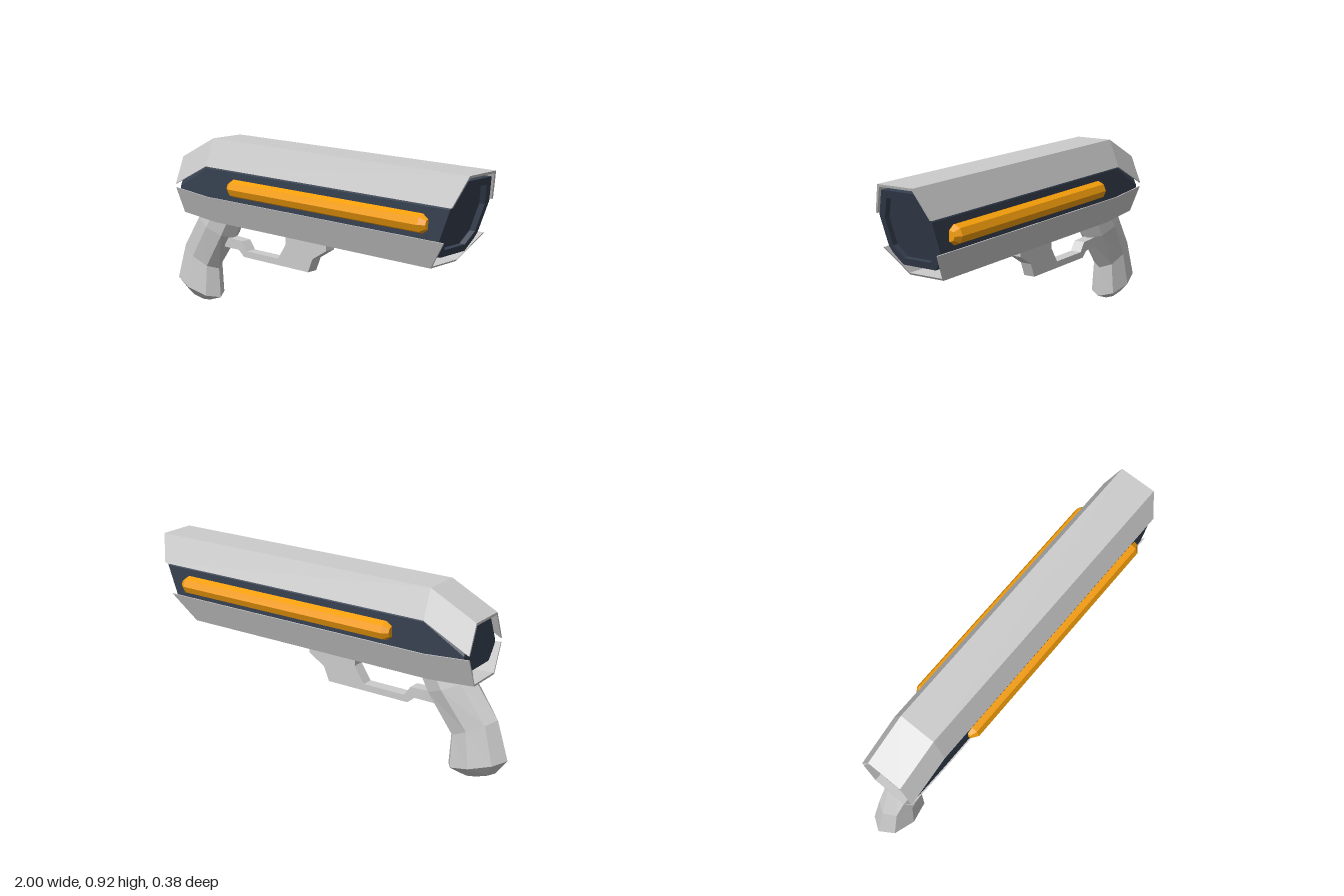
import * as THREE from 'three';

const Z = 0.004; // slight sideways offset of the housing
const paint = (color) => new THREE.MeshStandardMaterial({ color, flatShading: true });

// Closed, capped skin through rings of [x, y, z] points, ordered from -x to +x
function loft(rings) {
  const flat = (r) => r.map(([, y, z]) => new THREE.Vector2(z, y));
  if (THREE.ShapeUtils.isClockWise(flat(rings[0]))) rings = rings.map((r) => [...r].reverse());
  const n = rings[0].length, index = [];
  const last = (rings.length - 1) * n;
  for (let k = 0; k < rings.length - 1; k++) {
    for (let i = 0; i < n; i++) {
      const a = k * n + i, b = k * n + (i + 1) % n;
      index.push(a, a + n, b + n, a, b + n, b);
    }
  }
  for (const [a, b, c] of THREE.ShapeUtils.triangulateShape(flat(rings[0]), [])) index.push(a, b, c);
  for (const [a, b, c] of THREE.ShapeUtils.triangulateShape(flat(rings[rings.length - 1]), [])) {
    index.push(last + a, last + c, last + b);
  }
  const g = new THREE.BufferGeometry();
  g.setAttribute('position', new THREE.Float32BufferAttribute(rings.flat(2), 3));
  g.setIndex(index);
  const out = g.toNonIndexed();
  out.computeVertexNormals();
  return out;
}

// Mirror a half section of [z, y] points into a full loop
const mirrored = (half) => [...half, ...half.map(([z, y]) => [-z, y]).reverse()];
const ring = (section, xAt, dy = () => 0) =>
  section.map(([z, y]) => [xAt(y), y + dy(y), z + Z]);

export function createModel() {
  const model = new THREE.Group();
  const grey = paint(0xcccccc), dark = paint(0x374151), amber = paint(0xf59e0b);
  const add = (name, geometry, material) => {
    const mesh = new THREE.Mesh(geometry, material);
    mesh.name = name;
    model.add(mesh);
    return mesh;
  };

  // Dark octagonal core with a sloped, recessed muzzle
  const core = mirrored([[0.09, 0.535], [0.144, 0.605], [0.144, 0.77], [0.09, 0.893]]);
  const inset = core.map(([z, y]) => [z * 0.82, 0.71 + (y - 0.71) * 0.8]);
  const muzzle = (y) => 0.94 + (y - 0.78) * 0.375;
  add('core', loft([
    ring(core, () => -0.83, (y) => (y > 0.7 ? -0.12 : 0.025)),
    ring(core, () => -0.62),
    ring(core, muzzle),
    ring(inset, muzzle),
    ring(inset, (y) => muzzle(y) - 0.03),
  ]), dark);

  // Upper shell: thin channel whose rear slopes down
  const upper = mirrored([[0.09, 0.908], [0.144, 0.78], [0.153, 0.78], [0.096, 0.92]]);
  // mirrored() closes across both faces, so reorder into outer path then inner path
  const channel = ([i1, i0, o0, o1, p1, p0, q0, q1]) => [o0, o1, p1, p0, q0, q1, i1, i0];
  add('upperShell', loft([
    ring(channel(upper), () => -0.86, () => -0.12),
    ring(channel(upper), () => -0.62),
    ring(channel(upper), (y) => 0.95 + (y - 0.78) * 0.36),
  ]), grey);

  // Lower shell: matching channel, rear lifted slightly
  const lower = mirrored([[0.091, 0.488], [0.144, 0.62], [0.151, 0.62], [0.094, 0.478]]);
  add('lowerShell', loft([
    ring(channel(lower), () => -0.86, () => 0.02),
    ring(channel(lower), () => -0.62),
    ring(channel(lower), (y) => 0.91 + (y - 0.62) * 0.78),
  ]), grey);

  // Glowing side rods with chamfered ends
  const rod = [[0, -0.635], [0.026, -0.635], [0.047, -0.605], [0.047, 0.605], [0.026, 0.635], [0, 0.635]]
    .map(([r, y]) => new THREE.Vector2(r, y));
  for (const [side, name] of [[1, 'leftRod'], [-1, 'rightRod']]) {
    const mesh = add(name, new THREE.LatheGeometry(rod, 8), amber);
    mesh.rotation.z = -Math.PI / 2;
    mesh.position.set(0.185, 0.69, side * 0.144);
  }

  // Grip: eight-sided rings given by back point, front point and half width
  const grip = [
    [-0.94, 0.05, -0.78, 0.004, 0.04],
    [-1.0, 0.13, -0.69, 0.035, 0.096],
    [-0.94, 0.32, -0.7, 0.195, 0.08],
    [-0.81, 0.495, -0.57, 0.385, 0.096],
    [-0.75, 0.58, -0.53, 0.46, 0.09],
    [-0.74, 0.62, -0.53, 0.53, 0.09],
  ].map(([bx, by, fx, fy, w]) => Array.from({ length: 8 }, (_, i) => {
    const a = i * Math.PI / 4, t = (1 + Math.cos(a)) / 2;
    return [bx + (fx - bx) * t, by + (fy - by) * t, w * Math.sin(a) + 0.005];
  }));
  add('grip', loft(grip), grey);

  // Trigger guard: one flat bar running from the grip to the housing
  const guard = new THREE.Shape([
    [0.11, 0.49], [-0.17, 0.49], [-0.165, 0.42], [-0.22, 0.337], [-0.45, 0.337], [-0.485, 0.385],
    [-0.6, 0.39], [-0.62, 0.335], [-0.51, 0.335], [-0.47, 0.303], [-0.01, 0.303], [0.02, 0.375], [0.11, 0.43],
  ].map(([x, y]) => new THREE.Vector2(x, y)));
  const bar = new THREE.ExtrudeGeometry(guard, { depth: 0.06, bevelEnabled: false });
  add('triggerGuard', bar.translate(0, 0, -0.025), grey);

  return model;
}
